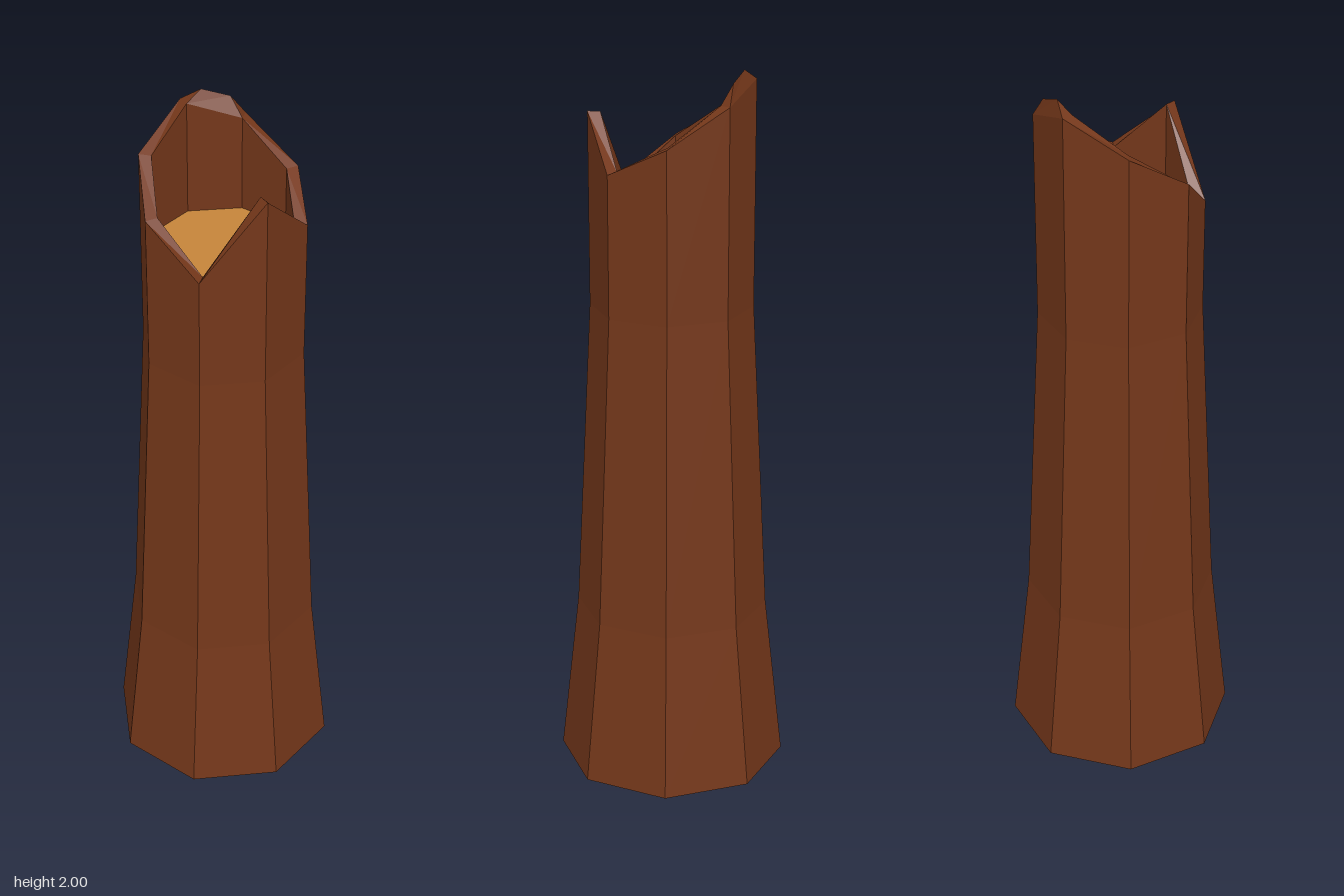
import * as THREE from 'three';

const SIDES = 8;
const FLOOR = 1.655;
// outer wall rings below the broken rim: [radius, height]
const RINGS = [[0.323, 0], [0.27, 0.47], [0.225, 1.35]];
const OUTER = 0.225, INNER = 0.19;
// broken rim height at each corner, counter-clockwise from the front
const RIM = [1.66, 1.88, 1.74, 1.82, 1.92, 1.97, 1.88, 1.78];

const corner = (k, r, y) => {
  const a = (k % SIDES) * Math.PI * 2 / SIDES;
  return [r * Math.sin(a), y, r * Math.cos(a)];
};
const rim = (k, r) => corner(k, r, RIM[k % SIDES]);

// flat-shaded mesh from convex polygons, each fanned into triangles
function facetMesh(name, polygons, color) {
  const pos = [];
  for (const p of polygons)
    for (let i = 1; i < p.length - 1; i++) pos.push(...p[0], ...p[i], ...p[i + 1]);
  const geometry = new THREE.BufferGeometry();
  geometry.setAttribute('position', new THREE.Float32BufferAttribute(pos, 3));
  geometry.computeVertexNormals();
  const mesh = new THREE.Mesh(geometry, new THREE.MeshStandardMaterial({ color, flatShading: true }));
  mesh.name = name;
  return mesh;
}

export function createModel() {
  const bark = 0x74371a, wood = 0xc6853a;
  const outside = [], inside = [], top = [], base = [], floor = [];

  for (let k = 0; k < SIDES; k++) {
    const n = k + 1;
    // flared outer wall, ending in the jagged rim
    RINGS.forEach(([r, y], i) => {
      const next = RINGS[i + 1];
      const upper = (c) => next ? corner(c, ...next) : rim(c, OUTER);
      outside.push([corner(k, r, y), corner(n, r, y), upper(n), upper(k)]);
    });
    // wall of the hollow
    inside.push([corner(n, INNER, FLOOR), corner(k, INNER, FLOOR), rim(k, INNER), rim(n, INNER)]);

    const o1 = rim(k, OUTER), o2 = rim(n, OUTER), i2 = rim(n, INNER), i1 = rim(k, INNER);
    if (k === 4) {
      // splinter ridge standing on the tallest side
      const r1 = [-0.035, 1.975, -0.2], r2 = [-0.105, 2, -0.168];
      top.push([o1, o2, r2, r1], [r1, r2, i2, i1], [o1, r1, i1], [o2, i2, r2]);
    } else {
      top.push([o1, o2, i2, i1]);
    }
    floor.push(corner(k, INNER, FLOOR));
    base.unshift(corner(k, RINGS[0][0], 0));
  }

  const group = new THREE.Group();
  group.name = 'hollowTrunk';
  group.add(
    facetMesh('outerBark', outside, bark),
    facetMesh('hollowWall', inside, bark),
    facetMesh('brokenRim', top, bark),
    facetMesh('base', [base], bark),
    facetMesh('woodFloor', [floor], wood),
  );
  return group;
}
